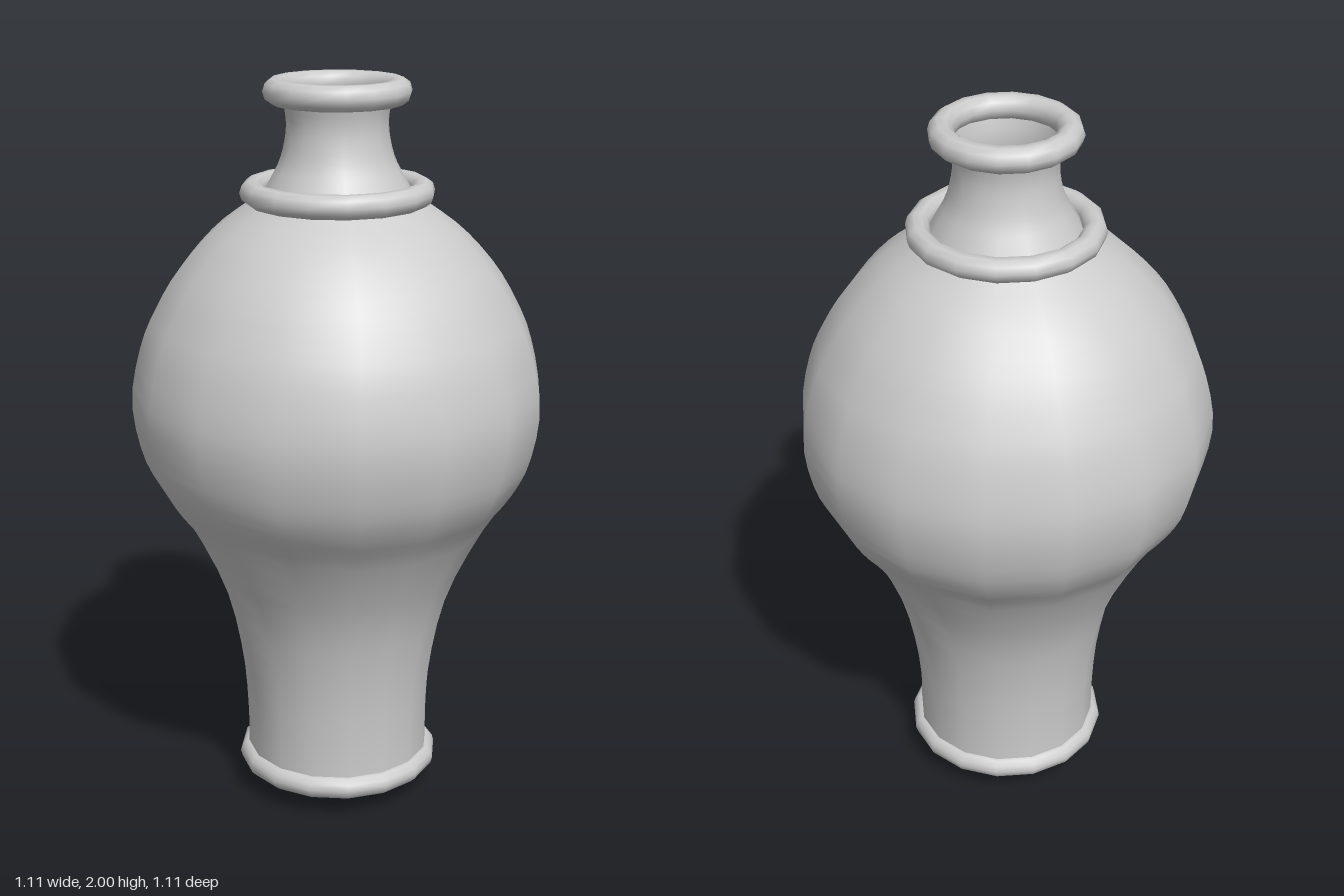
import * as THREE from 'three';

const SIDES = 16;
const material = new THREE.MeshStandardMaterial({ color: 0xcccccc, side: THREE.DoubleSide });

// Smooth surface of revolution from [radius, height] pairs, listed bottom to top
function turned(name, pairs, smoothSteps = 0) {
  let points = pairs.map(([r, y]) => new THREE.Vector2(r, y));
  if (smoothSteps) points = new THREE.SplineCurve(points).getPoints(smoothSteps);
  const mesh = new THREE.Mesh(new THREE.LatheGeometry(points, SIDES), material);
  mesh.name = name;
  return mesh;
}

// Rounded bead: flat from the inner radius, with a half-round outer edge
function bead(name, inner, outer, y, half) {
  const pairs = [[inner, y - half]];
  for (let i = 0; i <= 6; i++) {
    const a = -Math.PI / 2 + (i / 6) * Math.PI;
    pairs.push([outer - half + half * Math.cos(a), y + half * Math.sin(a)]);
  }
  pairs.push([inner, y + half]);
  return turned(name, pairs);
}

// Full round ring
function ring(name, outer, y, half) {
  const geometry = new THREE.TorusGeometry(outer - half, half, 10, SIDES);
  geometry.rotateX(Math.PI / 2);
  const mesh = new THREE.Mesh(geometry, material);
  mesh.name = name;
  mesh.position.y = y;
  return mesh;
}

export function createModel() {
  const vase = new THREE.Group();
  vase.name = 'vase';

  // Foot disc and base moulding
  vase.add(bead('foot', 0, 0.175, 0.028, 0.028));
  vase.add(bead('baseMoulding', 0.14, 0.28, 0.089, 0.033));

  // Swelling body
  vase.add(turned('body', [
    [0.255, 0.1], [0.255, 0.22], [0.269, 0.4], [0.315, 0.6], [0.412, 0.8],
    [0.483, 0.9], [0.531, 1.0], [0.555, 1.15], [0.527, 1.3], [0.485, 1.4],
    [0.425, 1.5], [0.335, 1.6], [0.235, 1.675], [0.2, 1.7],
  ], 36));

  // Collar, waisted neck and lip
  vase.add(ring('collar', 0.258, 1.705, 0.032));
  vase.add(turned('neck', [
    [0.2, 1.7], [0.178, 1.74], [0.152, 1.79], [0.137, 1.85], [0.135, 1.9], [0.145, 1.95],
  ], 14));
  vase.add(ring('lip', 0.195, 1.966, 0.034));

  return vase;
}
